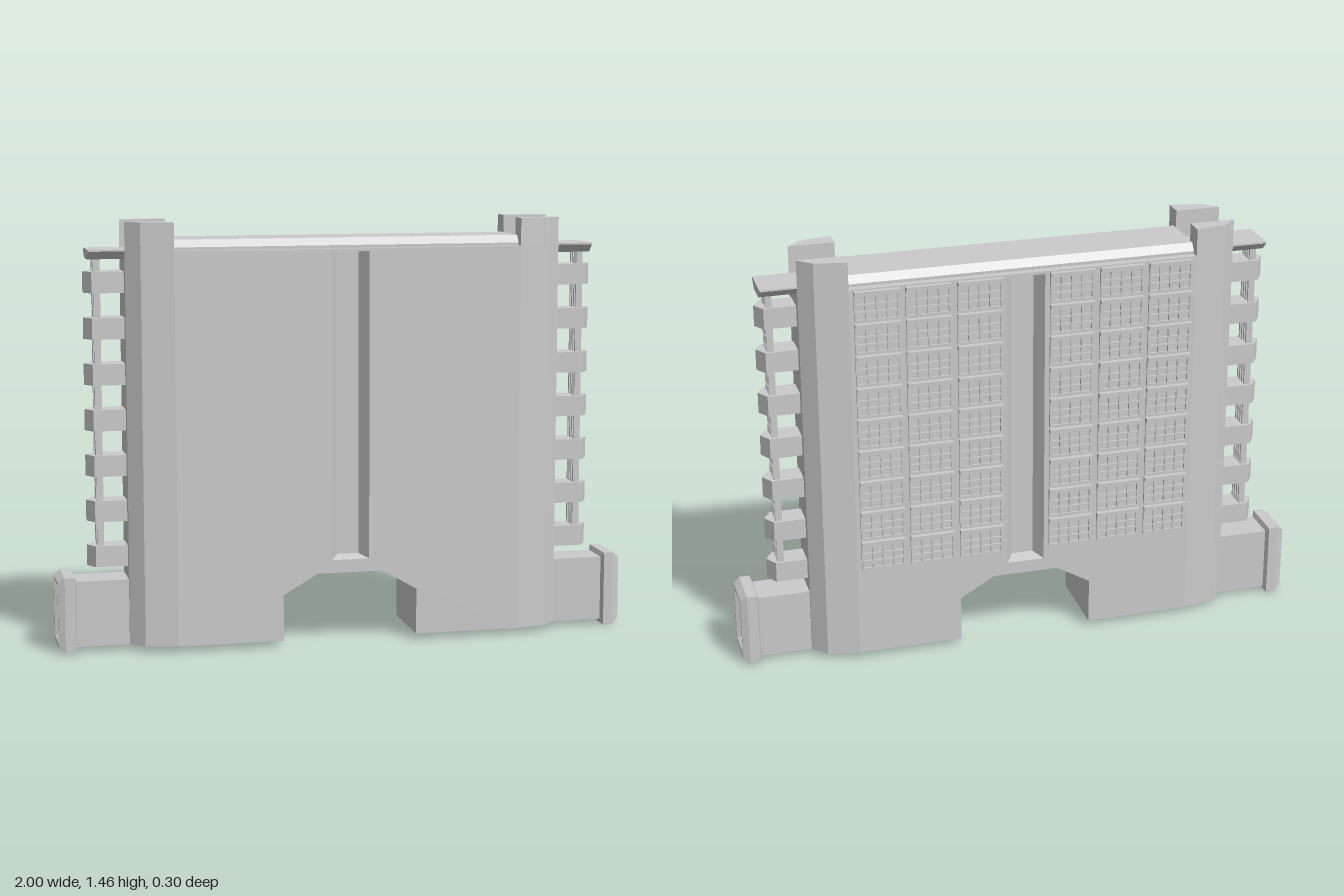
import * as THREE from 'three';

const material = new THREE.MeshStandardMaterial({ color: 0xcccccc, flatShading: true });
const DEPTH = 0.139; // half depth of the main slab
const FLOOR = 0.095; // depth of the channel floors
const SLOT = 0.066, SLOT_LOW = 0.295, SLOT_HIGH = 1.355;
const EAVES = 1.365;

function add(parent, name, geometry) {
  const mesh = new THREE.Mesh(geometry, material);
  mesh.name = name;
  parent.add(mesh);
  return mesh;
}

function box(x0, x1, y0, y1, z0, z1) {
  return new THREE.BoxGeometry(x1 - x0, y1 - y0, z1 - z0)
    .translate((x0 + x1) / 2, (y0 + y1) / 2, (z0 + z1) / 2);
}

function shapeOf(points) {
  return new THREE.Shape(points.map(([a, b]) => new THREE.Vector2(a, b)));
}

function extrude(shape, depth) {
  return new THREE.ExtrudeGeometry(shape, { depth, bevelEnabled: false });
}

// Plan outline [x, z] raised from y0 to y1
function prismY(points, y0, y1) {
  return extrude(shapeOf(points.map(([x, z]) => [x, -z])), y1 - y0)
    .rotateX(-Math.PI / 2).translate(0, y0, 0);
}

// Side profile [z, y] run from x0 to x1
function prismX(points, x0, x1) {
  return extrude(shapeOf(points.map(([z, y]) => [-z, y])), x1 - x0)
    .rotateY(Math.PI / 2).translate(x0, 0, 0);
}

// Rectangular sections [x, halfZ, yLow, yHigh] joined along x, closed at the end
function loftX(sections) {
  const pos = [], index = [];
  for (const [x, h, lo, hi] of sections) pos.push(x, lo, h, x, lo, -h, x, hi, -h, x, hi, h);
  for (let i = 0; i < sections.length - 1; i++) {
    for (let j = 0; j < 4; j++) {
      const a = i * 4 + j, b = i * 4 + (j + 1) % 4;
      index.push(a, b, b + 4, a, b + 4, a + 4);
    }
  }
  const e = (sections.length - 1) * 4;
  index.push(e, e + 1, e + 2, e, e + 2, e + 3);
  const g = new THREE.BufferGeometry();
  g.setAttribute('position', new THREE.Float32BufferAttribute(pos, 3));
  g.setIndex(index);
  const flat = g.toNonIndexed();
  flat.computeVertexNormals();
  return flat;
}

function wallShape() {
  return shapeOf([[-0.6, 0.02], [-0.235, 0.02], [-0.235, 0.18], [-0.115, 0.25], [0.115, 0.25],
    [0.235, 0.18], [0.235, 0.02], [0.6, 0.02], [0.6, EAVES], [-0.6, EAVES]]);
}

// Central slab with an archway and a tapered channel on both faces
function buildCentre(root) {
  add(root, 'wallCore', extrude(wallShape(), FLOOR * 2).translate(0, 0, -FLOOR));
  const skin = wallShape();
  skin.holes.push(new THREE.Path([[-SLOT, SLOT_LOW], [-SLOT, SLOT_HIGH], [SLOT, SLOT_HIGH], [SLOT, SLOT_LOW]]
    .map(([x, y]) => new THREE.Vector2(x, y))));
  for (const [s, name] of [[1, 'front'], [-1, 'back']]) {
    add(root, name + 'Wall', extrude(skin, DEPTH - FLOOR).translate(0, 0, s > 0 ? FLOOR : -DEPTH));
    for (const t of [-1, 1]) {
      add(root, name + 'ChannelSide', prismY(
        [[t * SLOT, s * DEPTH], [t * SLOT, s * FLOOR], [t * 0.038, s * FLOOR]], SLOT_LOW, SLOT_HIGH));
    }
    add(root, name + 'ChannelSill', prismX(
      [[s * DEPTH, SLOT_LOW], [s * FLOOR, SLOT_LOW], [s * FLOOR, SLOT_LOW + 0.012]], -SLOT, SLOT));
  }
  add(root, 'roof', prismX([[0.112, EAVES], [0.112, 1.375], [0.092, 1.4],
    [-0.092, 1.4], [-0.112, 1.375], [-0.112, EAVES]], -0.6, 0.6));
}

// Rows of gridded windows under projecting ledges on the back
function buildWindows(root) {
  const rows = 9, pitch = 0.1137, z = -DEPTH;
  const windows = new THREE.Group();
  windows.name = 'backWindows';
  root.add(windows);
  for (const s of [-1, 1]) {
    for (const middle of [0.16, 0.335, 0.508]) {
      const x = s * middle, half = 0.077;
      for (let r = 0; r < rows; r++) {
        const top = 1.36 - r * pitch;
        add(windows, 'windowLedge', box(x - half, x + half, top - 0.014, top, z - 0.017, z));
        for (const drop of [0.045, 0.072, 0.1]) {
          add(windows, 'windowRail', box(x - half, x + half, top - drop - 0.006, top - drop, z - 0.007, z));
        }
        for (let i = 0; i < 5; i++) {
          const mx = x + (i - 2) * 0.0365;
          add(windows, 'windowMullion', box(mx - 0.004, mx + 0.004, top - 0.106, top - 0.014, z - 0.007, z));
        }
      }
    }
  }
}

// Angled end bay, corner pillars, balcony stack and foot
function buildSide(name) {
  const side = new THREE.Group();
  side.name = name;
  add(side, 'endBay', prismY([[0.6, DEPTH], [0.71, 0.117], [0.757, 0.071],
    [0.757, -0.071], [0.71, -0.117], [0.6, -DEPTH]], 0.02, EAVES));
  for (const s of [-1, 1]) {
    add(side, 'cornerPillar', prismY([[0.6, s * 0.071], [0.6, s * DEPTH],
      [0.71, s * 0.117], [0.757, s * 0.071]], EAVES, 1.46));
  }
  // Flared cap over the balconies
  add(side, 'balconyCap', prismX([[-0.071, 1.368], [0.071, 1.368], [0.071, 1.362],
    [0.042, 1.335], [-0.042, 1.335], [-0.071, 1.362]], 0.65, 0.88));
  for (let i = 0; i < 7; i++) {
    const y = 0.288 + i * 0.1555;
    add(side, 'balcony', prismY([[0.74, 0.043], [0.866, 0.043], [0.892, 0],
      [0.866, -0.043], [0.74, -0.043]], y, y + 0.072));
  }
  for (const z of [-0.03, -0.01, 0.01, 0.03]) {
    add(side, 'balconyPost', box(0.836, 0.859, 0.3, 1.34, z - 0.004, z + 0.004));
  }
  // Foot with a flange and a recessed end panel
  add(side, 'foot', loftX([
    [0.72, 0.063, 0.018, 0.245], [0.935, 0.063, 0.018, 0.245], [0.943, 0.079, 0, 0.262],
    [0.977, 0.079, 0, 0.262], [1, 0.068, 0.02, 0.245], [1, 0.06, 0.033, 0.235],
    [0.985, 0.053, 0.042, 0.225],
  ]));
  return side;
}

export function createModel() {
  const model = new THREE.Group();
  model.name = 'gateBuilding';
  const root = new THREE.Group();
  root.name = 'building';
  root.position.z = 0.0085;
  model.add(root);
  buildCentre(root);
  buildWindows(root);
  const left = buildSide('leftSide');
  const right = buildSide('rightSide');
  right.rotation.y = Math.PI;
  root.add(left, right);
  return model;
}
